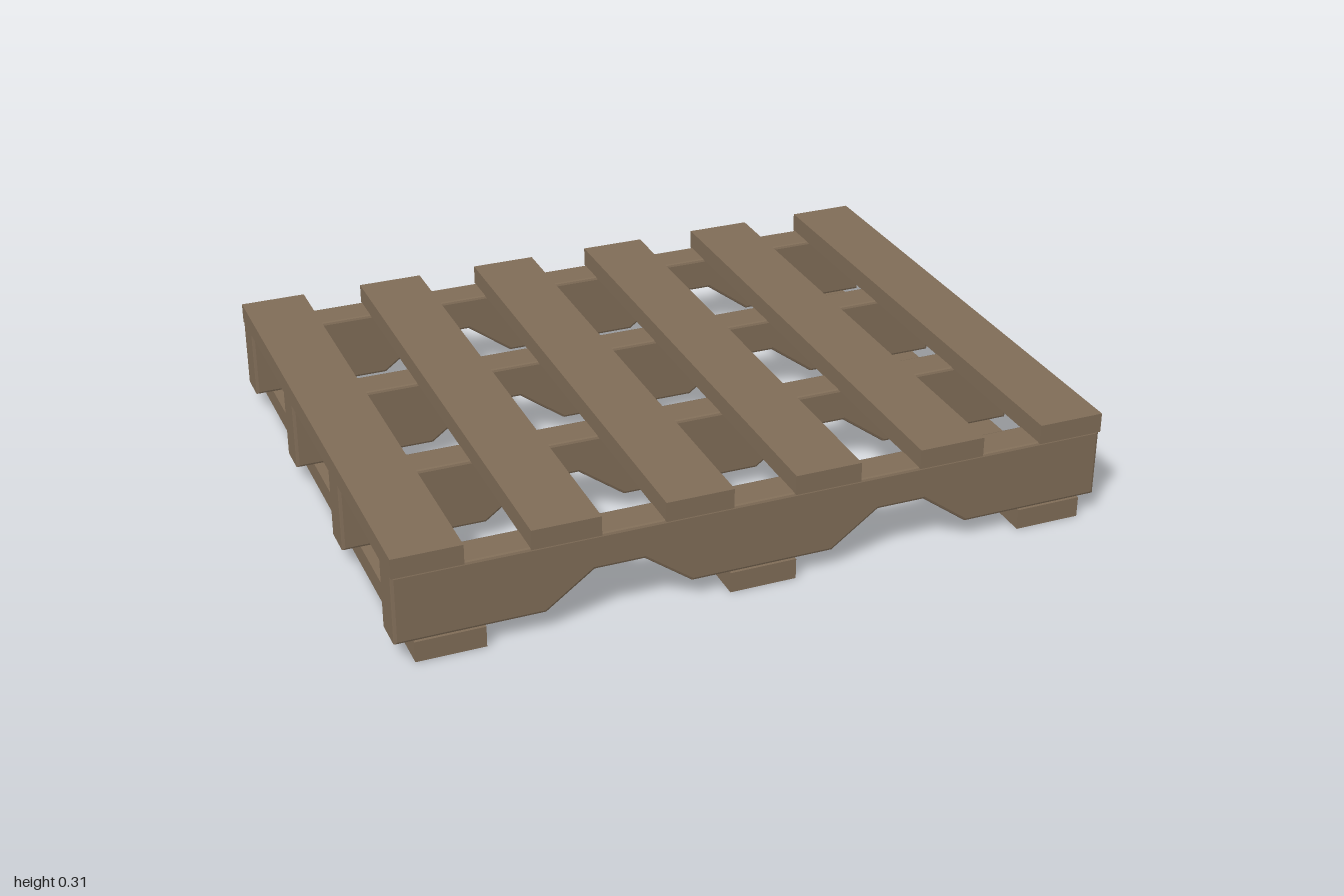
import * as THREE from 'three';

const wood = new THREE.MeshStandardMaterial({ color: 0x7f6c57 });
const LENGTH = 1.556;

// Flat board running front to back
function board(name, x, y, width, height) {
  const mesh = new THREE.Mesh(new THREE.BoxGeometry(width, height, LENGTH), wood);
  mesh.name = name;
  mesh.position.set(x, y + height / 2, 0);
  return mesh;
}

// Notched beam running left to right, with slightly eased edges
function stringerGeometry() {
  const low = 0.058, high = 0.256, notch = 0.155, ease = 0.008, depth = 0.103;
  const shape = new THREE.Shape();
  shape.moveTo(-1, low);
  for (const c of [-0.4, 0.4]) {
    shape.lineTo(c - 0.2, low);
    shape.lineTo(c - 0.068, notch);
    shape.lineTo(c + 0.068, notch);
    shape.lineTo(c + 0.2, low);
  }
  shape.lineTo(1, low);
  shape.lineTo(1, high);
  shape.lineTo(-1, high);
  shape.closePath();
  const geometry = new THREE.ExtrudeGeometry(shape, {
    depth: depth - 2 * ease, bevelEnabled: true, bevelThickness: ease,
    bevelSize: ease, bevelOffset: -ease, bevelSegments: 2,
  });
  geometry.translate(0, 0, ease - depth / 2);
  return geometry;
}

export function createModel() {
  const pallet = new THREE.Group();
  pallet.name = 'pallet';

  // Six deck boards on top
  for (let i = 0; i < 6; i++) {
    pallet.add(board('deckBoard', -0.906 + i * 0.3624, 0.254, 0.188, 0.056));
  }

  // Three boards underneath
  for (const x of [-0.856, 0, 0.856]) {
    pallet.add(board('bottomBoard', x, 0, 0.188, 0.059));
  }

  // Four notched stringers between the layers
  const geometry = stringerGeometry();
  for (const z of [-0.722, -0.241, 0.241, 0.722]) {
    const stringer = new THREE.Mesh(geometry, wood);
    stringer.name = 'stringer';
    stringer.position.z = z;
    pallet.add(stringer);
  }
  return pallet;
}
